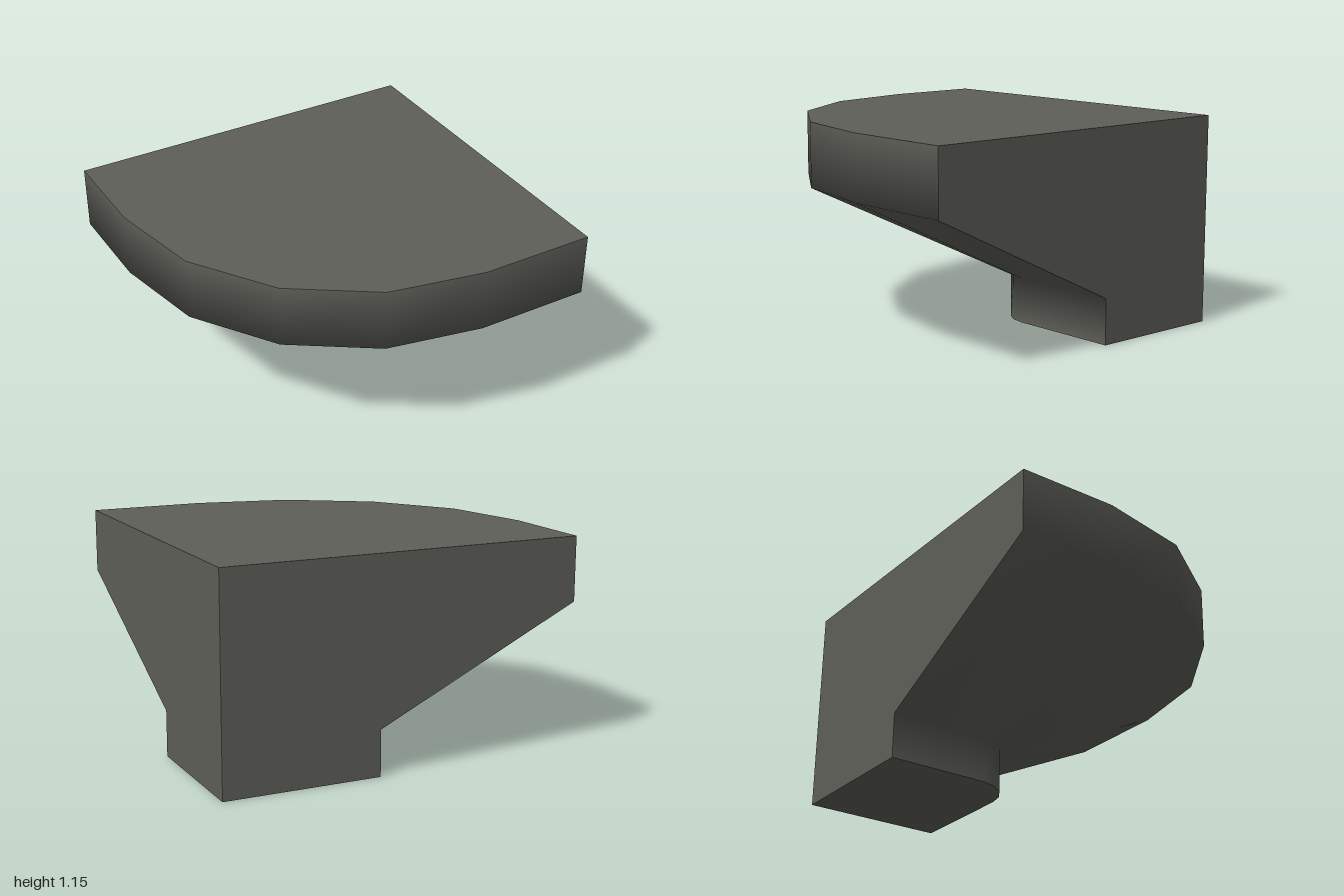
import * as THREE from 'three';

const BACK = -0.96, SIDE = 1;      // the two flat wall planes
const CX = 0.365, CZ = -0.405;     // shared centre of the rounded corners
const SEGMENTS = 4;
// radius and height of each ring, from the foot up
const RINGS = [[0.225, 0], [0.225, 0.25], [1.365, 0.8], [1.365, 1.15]];

// Outline from the back wall, round the corner, to the side wall
function outline(r, y) {
  const pts = [[CX - r, y, BACK]];
  for (let i = 0; i <= SEGMENTS; i++) {
    const a = (i / SEGMENTS) * Math.PI / 2;
    pts.push([CX - r * Math.cos(a), y, CZ + r * Math.sin(a)]);
  }
  pts.push([SIDE, y, CZ + r]);
  return pts;
}

function indexed(points, index) {
  const g = new THREE.BufferGeometry();
  g.setAttribute('position', new THREE.Float32BufferAttribute(points.flat(), 3));
  g.setIndex(index);
  g.computeVertexNormals();
  return g;
}

// Smooth skin through all the rings
function skin() {
  const n = SEGMENTS + 3, index = [];
  for (let j = 0; j < RINGS.length - 1; j++) {
    for (let i = 0; i < n - 1; i++) {
      const a = j * n + i, b = a + 1, c = b + n, d = a + n;
      index.push(a, b, c, a, c, d);
    }
  }
  return indexed(RINGS.flatMap(([r, y]) => outline(r, y)), index);
}

// Flat cap fanned from the inner wall corner
function cap([r, y], up) {
  const pts = [[SIDE, y, BACK], ...outline(r, y)], index = [];
  for (let i = 1; i < pts.length - 1; i++) index.push(0, ...(up ? [i, i + 1] : [i + 1, i]));
  return indexed(pts, index);
}

// Flat wall with the stepped profile; edge gives its free edge, inner the corner
function wall(inner, edge) {
  const pts = RINGS.map(([r, y]) => new THREE.Vector2(edge(r), y));
  pts.push(new THREE.Vector2(inner, RINGS[3][1]), new THREE.Vector2(inner, 0));
  return new THREE.ShapeGeometry(new THREE.Shape(pts));
}

export function createModel() {
  const group = new THREE.Group();
  group.name = 'cornerCorbel';
  const stone = new THREE.MeshStandardMaterial({ color: 0x5e5f58 });
  stone.name = 'darkStone';

  const add = (name, geometry) => {
    const mesh = new THREE.Mesh(geometry, stone);
    mesh.name = name;
    group.add(mesh);
  };

  add('roundedFlank', skin());
  add('topFace', cap(RINGS[3], true));
  add('footFace', cap(RINGS[0], false));
  add('backWall', wall(-SIDE, r => r - CX).rotateY(Math.PI).translate(0, 0, BACK));
  add('sideWall', wall(-BACK, r => -CZ - r).rotateY(Math.PI / 2).translate(SIDE, 0, 0));
  return group;
}
